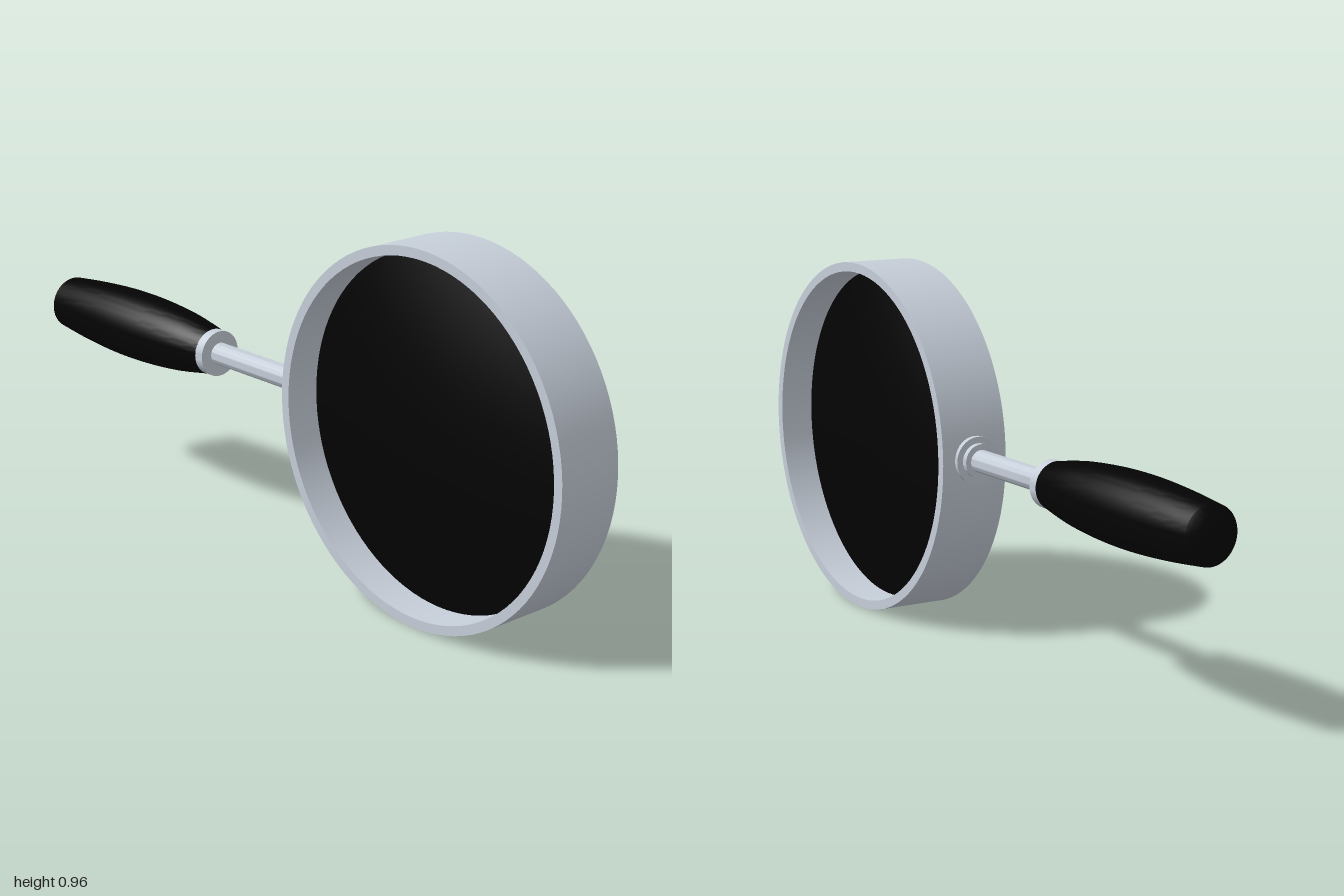
import * as THREE from 'three';
import { toCreasedNormals } from 'three/addons/utils/BufferGeometryUtils.js';

export function createModel() {
  const model = new THREE.Group();
  const metal = new THREE.MeshStandardMaterial({ color: 0xc6ced9 });
  metal.name = 'brushed metal';
  const black = new THREE.MeshStandardMaterial({ color: 0x030303 });
  black.name = 'black';

  // Turned part from [radius, height] points, listed upward on the outside
  const lathe = (name, points, material, segments = 64) => {
    const profile = points.map(([r, h]) => new THREE.Vector2(r, h));
    const geometry = toCreasedNormals(new THREE.LatheGeometry(profile, segments), 0.6);
    const mesh = new THREE.Mesh(geometry, material);
    mesh.name = name;
    return mesh;
  };

  // Round head, its axis along z
  const head = new THREE.Group();
  head.name = 'head';
  head.position.set(0.521, 0.479, -0.001);
  head.rotation.x = Math.PI / 2;
  const outer = 0.479, inner = 0.454, half = 0.0945;
  head.add(lathe('rim', [
    [inner, -half], [outer, -half], [outer, half], [inner, half], [inner, -half],
  ], metal, 96));

  // Lens bulging on both sides, its edge at mid depth
  const bulge = 0.064, lensProfile = [];
  for (let i = -12; i <= 12; i++) {
    const ratio = 1 - Math.abs(i) / 12;
    lensProfile.push([inner * ratio, Math.sign(i) * bulge * (1 - ratio * ratio)]);
  }
  head.add(lathe('lens', lensProfile, black, 96));
  model.add(head);

  // Handle assembly: lathe height runs along +x
  const handle = new THREE.Group();
  handle.name = 'handle';
  handle.position.set(0, 0.486, 0.002);
  handle.rotation.z = -Math.PI / 2;

  // Barrel-shaped grip with a domed end
  const grip = new THREE.SplineCurve([
    [0.073, -0.975], [0.084, -0.87], [0.091, -0.77], [0.0935, -0.68],
    [0.091, -0.58], [0.081, -0.46], [0.062, -0.345],
  ].map(([r, h]) => new THREE.Vector2(r, h)));
  handle.add(lathe('grip', [
    [0, -1], [0.025, -0.998], [0.048, -0.992], [0.064, -0.983],
    ...grip.getPoints(24).map((p) => [p.x, p.y]), [0, -0.345],
  ], black));

  // Metal fittings between grip and rim: [name, radius, start, end]
  for (const [name, r, a, b] of [
    ['ferrule', 0.062, -0.346, -0.317],
    ['rod', 0.03, -0.33, 0.03],
    ['smallCollar', 0.045, 0.015, 0.035],
    ['largeCollar', 0.062, 0.031, 0.055],
  ]) {
    handle.add(lathe(name, [[0, a], [r, a], [r, b], [0, b]], metal, 48));
  }
  model.add(handle);

  return model;
}
